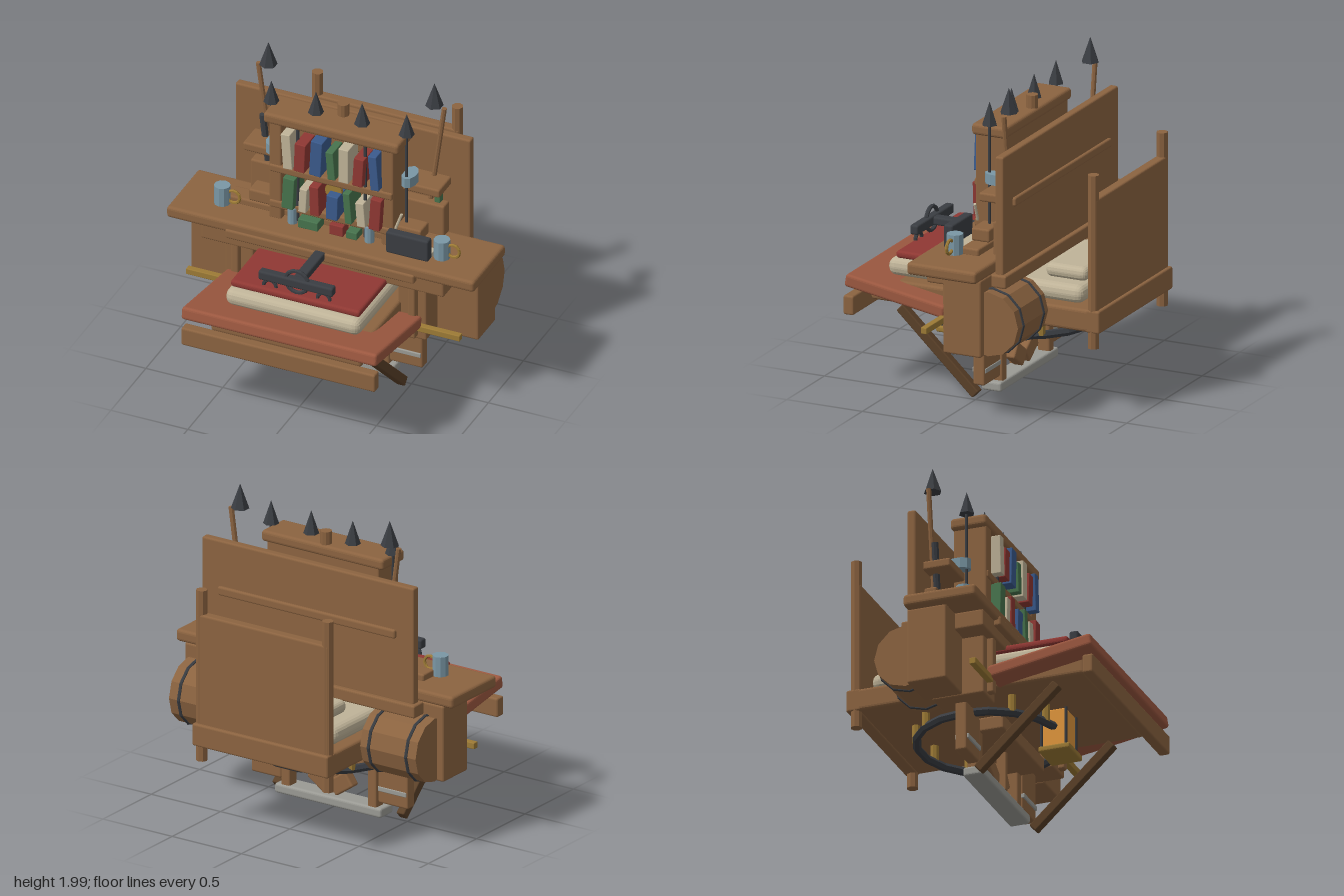
import * as THREE from 'three';
import { RoundedBoxGeometry } from 'three/addons/geometries/RoundedBoxGeometry.js';

const COLORS = {
  wood: 0x8b6340, darkWood: 0x5a4028, leather: 0x9c5840, red: 0x8f3833, blue: 0x3a5a8c, green: 0x47734d,
  cream: 0xbfb398, iron: 0x3a3d42, steel: 0x7a97a5, gold: 0x9c7a35, lamp: 0xe0963c, grey: 0x9a9a94,
};
const mats = {};
for (const key in COLORS) {
  mats[key] = new THREE.MeshStandardMaterial({ color: COLORS[key], flatShading: true });
}

export function createModel() {
  const root = new THREE.Group();
  root.name = 'travellingCounter';

  const add = (name, color, geometry, x, y, z) => {
    const mesh = new THREE.Mesh(geometry, mats[color]);
    mesh.name = name;
    mesh.position.set(x, y, z);
    root.add(mesh);
    return mesh;
  };
  // bevelled box given by its extents
  const box = (name, color, [x0, x1], [y0, y1], [z0, z1], bevel = 0.012) => {
    const w = x1 - x0, h = y1 - y0, d = z1 - z0;
    const r = Math.min(bevel, Math.min(w, h, d) * 0.45);
    return add(name, color, new RoundedBoxGeometry(w, h, d, 2, r), (x0 + x1) / 2, (y0 + y1) / 2, (z0 + z1) / 2);
  };
  const wide = (name, color, half, y, z, bevel) => box(name, color, [-half, half], y, z, bevel);
  const pair = (name, color, [x0, x1], y, z, bevel) => [
    box(name + 'Left', color, [x0, x1], y, z, bevel),
    box(name + 'Right', color, [-x1, -x0], y, z, bevel),
  ];
  const cyl = (name, color, r, y0, y1, x, z, sides = 10, rTop = r) =>
    add(name, color, new THREE.CylinderGeometry(rTop, r, y1 - y0, sides), x, (y0 + y1) / 2, z);
  const rod = (name, color, r, a, b) => {
    const from = new THREE.Vector3(...a), to = new THREE.Vector3(...b);
    const dir = to.clone().sub(from);
    const mesh = add(name, color, new THREE.CylinderGeometry(r, r, dir.length(), 8), 0, 0, 0);
    mesh.position.copy(from).add(to).multiplyScalar(0.5);
    mesh.quaternion.setFromUnitVectors(new THREE.Vector3(0, 1, 0), dir.normalize());
  };

  // counter and cabinets
  wide('counterTop', 'wood', 1, [0.905, 0.98], [-0.25, 0.21], 0.02);
  wide('counterApron', 'wood', 0.79, [0.8, 0.91], [-0.2, 0.18]);
  wide('counterTrim', 'wood', 0.615, [0.87, 0.93], [0.12, 0.222]);
  pair('cabinet', 'wood', [0.665, 0.935], [0.43, 0.91], [-0.25, 0]);
  pair('innerCabinet', 'wood', [0.47, 0.655], [0.43, 0.91], [-0.2, 0.13]);
  pair('cabinetPost', 'wood', [0.55, 0.6], [0.45, 0.81], [0.1, 0.17]);
  pair('sideHandle', 'gold', [0.6, 0.89], [0.51, 0.55], [0.13, 0.17], 0.005);

  // barrels behind the cabinets
  for (const s of [-1, 1]) {
    const barrel = add('barrel', 'wood', new THREE.CylinderGeometry(0.2, 0.2, 0.4, 12), s * 0.69, 0.635, -0.275);
    barrel.rotation.z = Math.PI / 2;
    for (const x of [0.55, 0.82]) {
      const hoop = add('barrelHoop', 'iron', new THREE.TorusGeometry(0.2, 0.011, 6, 12), s * x, 0.635, -0.275);
      hoop.rotation.y = Math.PI / 2;
    }
  }

  // tall back board and its shelf
  wide('backBoard', 'wood', 0.765, [0.9, 1.64], [-0.315, -0.26]);
  wide('backRail', 'wood', 0.79, [0.83, 0.91], [-0.345, -0.24]);
  wide('backShelf', 'wood', 0.64, [1.3, 1.355], [-0.335, -0.09]);
  wide('rearStep', 'wood', 0.63, [0.97, 1.185], [-0.26, -0.18]);
  wide('frontStep', 'wood', 0.56, [1.02, 1.1], [-0.12, 0]);
  wide('stepBase', 'wood', 0.7, [0.97, 1.02], [-0.12, 0]);

  // bed
  wide('bedPlatform', 'wood', 0.49, [0.53, 0.67], [-0.81, 0.7], 0.02);
  wide('mattress', 'cream', 0.44, [0.675, 0.785], [-0.675, 0.62], 0.05);
  wide('pillow', 'cream', 0.33, [0.78, 0.865], [-0.645, -0.37], 0.04);
  wide('redPad', 'red', 0.42, [0.785, 0.83], [0.0, 0.57], 0.018);
  wide('footBoard', 'wood', 0.475, [0.52, 1.36], [-0.79, -0.725]);
  wide('footRail', 'wood', 0.49, [0.53, 0.67], [-0.812, -0.72]);
  for (const s of [-1, 1]) cyl('bedPost', 'wood', 0.035, 0.43, 1.51, s * 0.455, -0.758, 8);

  // sloping leather tray and front plank
  const tray = wide('leatherTray', 'leather', 0.635, [0.582, 0.662], [0.14, 0.805], 0.018);
  tray.rotation.x = -0.165;
  wide('frontPlank', 'wood', 0.63, [0.46, 0.58], [0.745, 0.812]);

  // tiller: column, cross bar, wheel and hooks
  wide('tillerColumn', 'iron', 0.035, [0.885, 0.935], [0.15, 0.54]);
  wide('tillerBar', 'iron', 0.242, [0.88, 0.94], [0.51, 0.565]);
  add('tillerWheel', 'iron', new THREE.TorusGeometry(0.074, 0.013, 6, 16), 0, 0.915, 0.54);
  for (const x of [-0.175, 0.175]) {
    add('tillerHook', 'iron', new THREE.TorusGeometry(0.04, 0.012, 6, 10, Math.PI), x, 0.84, 0.54);
  }

  // bookcase
  pair('bookcaseSide', 'wood', [0.325, 0.405], [0.97, 1.65], [-0.16, 0.05]);
  wide('bookcaseBack', 'wood', 0.39, [0.97, 1.65], [-0.16, -0.1]);
  wide('bookcaseTop', 'wood', 0.44, [1.635, 1.705], [-0.17, 0.06], 0.02);
  for (const y of [1.08, 1.33]) wide('bookShelf', 'wood', 0.4, [y - 0.025, y + 0.025], [-0.15, 0.06]);
  wide('bookRail', 'wood', 0.34, [1.52, 1.59], [-0.12, -0.04]);
  for (const x of [-0.22, 0.22]) rod('bookcaseBar', 'iron', 0.011, [x, 1, 0.045], [x, 1.64, 0.045]);
  cyl('chimney', 'wood', 0.036, 1.69, 1.785, 0, -0.125, 10);

  // books: colour, x centre, width, height, lean
  const rows = [
    [1.375, [['cream', -0.27, 0.06, 0.24, 0.07], ['red', -0.185, 0.07, 0.195, -0.04], ['blue', -0.08, 0.075, 0.24, -0.05],
      ['green', 0.015, 0.05, 0.19, 0.08], ['cream', 0.1, 0.065, 0.235, 0], ['red', 0.195, 0.065, 0.195, -0.06],
      ['blue', 0.295, 0.055, 0.235, 0.08]]],
    [1.095, [['green', -0.26, 0.075, 0.215, -0.05], ['cream', -0.165, 0.05, 0.165, -0.05], ['red', -0.09, 0.06, 0.2, 0.03],
      ['blue', 0.025, 0.075, 0.165, -0.03], ['green', 0.125, 0.045, 0.21, 0.08], ['cream', 0.21, 0.055, 0.165, 0.08],
      ['red', 0.305, 0.07, 0.215, -0.06]]],
  ];
  for (const [y, books] of rows) {
    for (const [color, x, w, h, lean] of books) {
      box('book', color, [x - w / 2, x + w / 2], [y, y + h], [-0.06, 0.098], 0.005).rotation.z = lean;
    }
  }
  add('goldPlate', 'gold', new THREE.CylinderGeometry(0.055, 0.055, 0.02, 16), 0.01, 1.26, 0.03).rotation.x = Math.PI / 2;

  // bits on the counter below the books
  for (const x of [-0.25, 0.25]) cyl('smallCup', 'steel', 0.03, 0.98, 1.085, x, 0.05, 10);
  box('lyingBook', 'green', [-0.2, -0.07], [0.98, 1.04], [-0.05, 0.09], 0.005);
  box('lyingBook', 'red', [0, 0.09], [0.98, 1.05], [-0.05, 0.08], 0.005);
  box('lyingBook', 'green', [0.11, 0.18], [0.98, 1.03], [-0.05, 0.08], 0.005);
  box('slate', 'iron', [0.39, 0.665], [0.985, 1.13], [0.07, 0.13]);
  box('paperStack', 'cream', [0.42, 0.66], [0.98, 1.01], [0, 0.07], 0.004);
  rod('quill', 'cream', 0.009, [0.41, 1.1, 0.03], [0.45, 1.21, 0.03]);
  for (const x of [-0.717, 0.712]) {
    cyl('mug', 'steel', 0.05, 0.98, 1.105, x, 0.03, 10);
    add('mugHandle', 'gold', new THREE.TorusGeometry(0.042, 0.01, 6, 12), x + 0.072, 1.04, 0.03);
  }

  // finial spikes, spears and brackets
  for (const x of [-0.44, -0.15, 0.15, 0.44]) cyl('spike', 'iron', 0.048, 1.715, 1.86, x, -0.063, 6, 0);
  for (const s of [-1, 1]) {
    rod('spikeShaft', 'iron', 0.009, [s * 0.44, 0.98, -0.063], [s * 0.44, 1.72, -0.063]);
    cyl('bracketCup', 'steel', 0.076, 1.355, 1.42, s * 0.44, -0.11, 10).scale.x = 0.62;
    cyl('spearHead', 'iron', 0.055, 1.845, 2, s * 0.54, -0.24, 6, 0);
    rod('spearPole', 'wood', 0.016, [s * 0.515, 1.18, -0.24], [s * 0.605, 1.84, -0.24]);
  }
  rod('spearGrip', 'iron', 0.022, [-0.53, 1.19, -0.215], [-0.565, 1.5, -0.215]);
  box('greenBottle', 'green', [0.55, 0.59], [1.18, 1.26], [-0.26, -0.21], 0.008);

  // turning ring with pegs under the bed
  const ring = add('turningRing', 'iron', new THREE.TorusGeometry(0.44, 0.026, 6, 18), 0, 0.42, -0.085);
  ring.rotation.x = Math.PI / 2;
  for (const s of [-1, 1]) {
    for (const a of [0.35, 0.9, 2.24, 2.79]) {
      cyl('ringPeg', 'gold', 0.026, 0.42, 0.54, s * 0.44 * Math.sin(a), -0.085 + 0.44 * Math.cos(a), 8);
    }
  }

  // undercarriage
  wide('undercarriageBeam', 'wood', 0.335, [0.335, 0.425], [-0.1, 0.13]);
  pair('undercarriagePost', 'wood', [0.28, 0.345], [0.08, 0.42], [-0.1, -0.02]);
  wide('runner', 'grey', 0.385, [0.035, 0.095], [-0.11, 0.02], 0.015);
  pair('sideFoot', 'wood', [0.35, 0.565], [0.125, 0.44], [-0.09, -0.015]);
  pair('footBand', 'grey', [0.35, 0.555], [0.2, 0.23], [-0.095, -0.005], 0.005);
  wide('centrePost', 'wood', 0.016, [0.09, 0.42], [-0.04, 0.02], 0.005);
  for (const s of [-1, 1]) {
    box('wedge', 'wood', s > 0 ? [0, 0.15] : [-0.15, 0], [0.13, 0.235], [-0.09, -0.02]).rotation.z = s * 0.6;
    // slanting brace from the tray down to the ground
    const brace = box('brace', 'darkWood', [s * 0.448 - 0.028, s * 0.448 + 0.028], [0.235, 0.295], [-0.078, 0.612], 0.008);
    brace.rotation.x = -0.755;
  }

  // lantern
  wide('lanternGlass', 'lamp', 0.078, [0.285, 0.53], [0.275, 0.425], 0.008);
  wide('lanternBase', 'gold', 0.11, [0.25, 0.288], [0.26, 0.46]);
  for (const x of [-0.082, 0.082]) {
    for (const z of [0.272, 0.428]) rod('lanternBar', 'iron', 0.009, [x, 0.28, z], [x, 0.54, z]);
  }
  return root;
}
